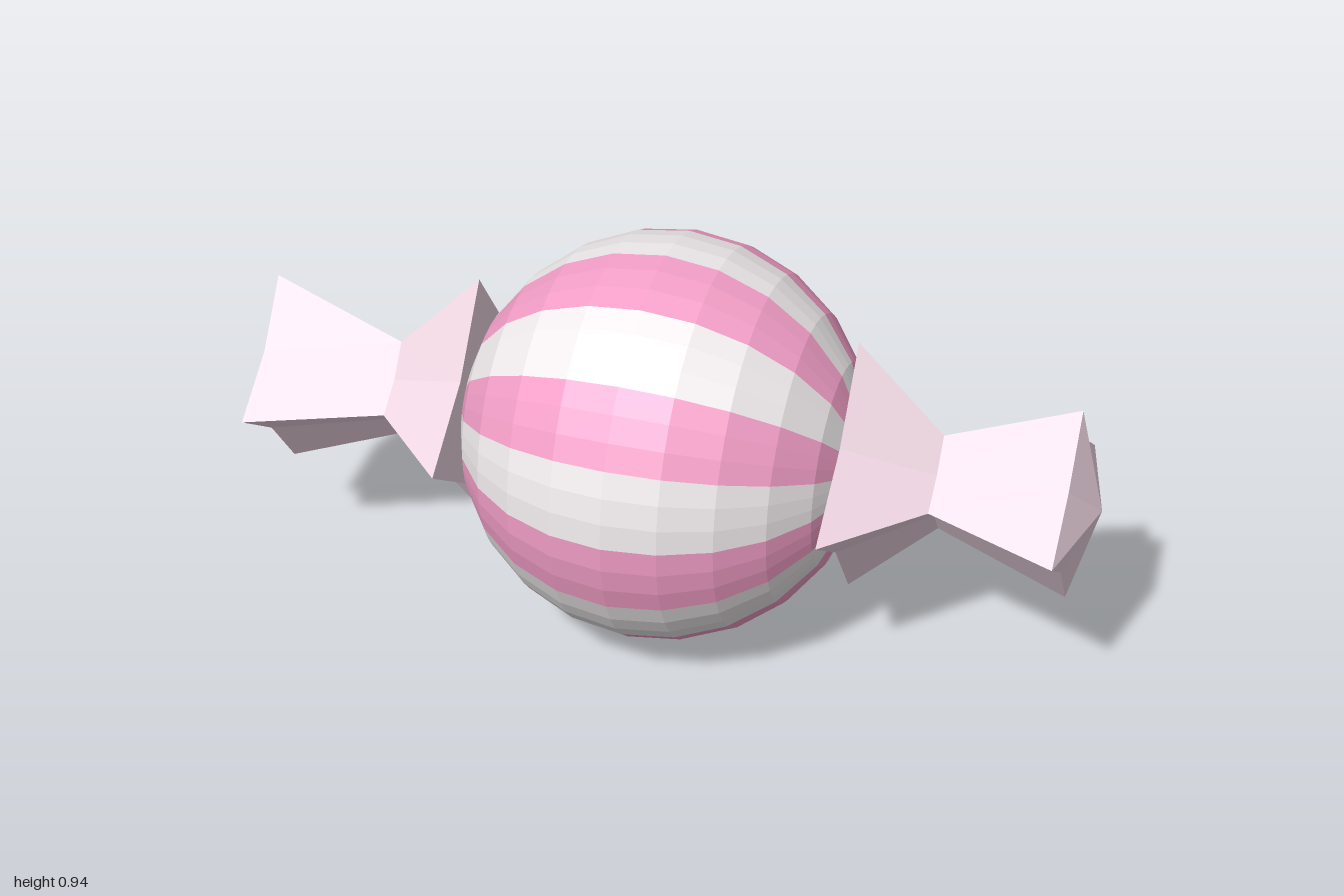
import * as THREE from 'three';
import { mergeGeometries } from 'three/addons/utils/BufferGeometryUtils.js';

const RADIUS = 0.468;
const SECTORS = 16;

const flat = (color) => new THREE.MeshStandardMaterial({ color, flatShading: true });

// Every second lengthwise wedge of the ball, starting at wedge `first`
function stripes(first) {
  const wedge = (Math.PI * 2) / SECTORS;
  const parts = [];
  for (let k = first; k < SECTORS; k += 2) {
    parts.push(new THREE.SphereGeometry(RADIUS, 1, 12, k * wedge, wedge));
  }
  return mergeGeometries(parts).rotateZ(-Math.PI / 2);
}

// Four-pointed star section swept along x: flare, pinched neck, flare, tip
function twistGeometry() {
  const profile = [[0, 0.44], [0.328, 0.44], [0.125, 0.64], [0.25, 0.938], [0, 1]]
    .map(([r, x]) => new THREE.Vector2(r, x));
  const geometry = new THREE.LatheGeometry(profile, 8);
  const pos = geometry.attributes.position;
  for (let i = 0; i < pos.count; i++) {
    // pull in every second column to form the star's inner corners
    const s = Math.floor(i / profile.length) % 2 ? 0.6 : 1;
    pos.setXYZ(i, pos.getX(i) * s, pos.getY(i), pos.getZ(i) * s);
  }
  return geometry.rotateZ(-Math.PI / 2);
}

export function createModel() {
  const candy = new THREE.Group();
  candy.name = 'wrappedCandy';

  const add = (name, geometry, material) => {
    const mesh = new THREE.Mesh(geometry, material);
    mesh.name = name;
    mesh.position.y = RADIUS;
    candy.add(mesh);
    return mesh;
  };

  // Striped ball
  add('pinkStripes', stripes(0), flat(0xf49fc8));
  add('whiteStripes', stripes(1), flat(0xf0ebed));

  // Twisted wrapper ends
  const wrapper = flat(0xf2d9e5);
  const twist = twistGeometry();
  add('leftWrapperTwist', twist, wrapper);
  add('rightWrapperTwist', twist, wrapper).rotation.y = Math.PI;

  return candy;
}
